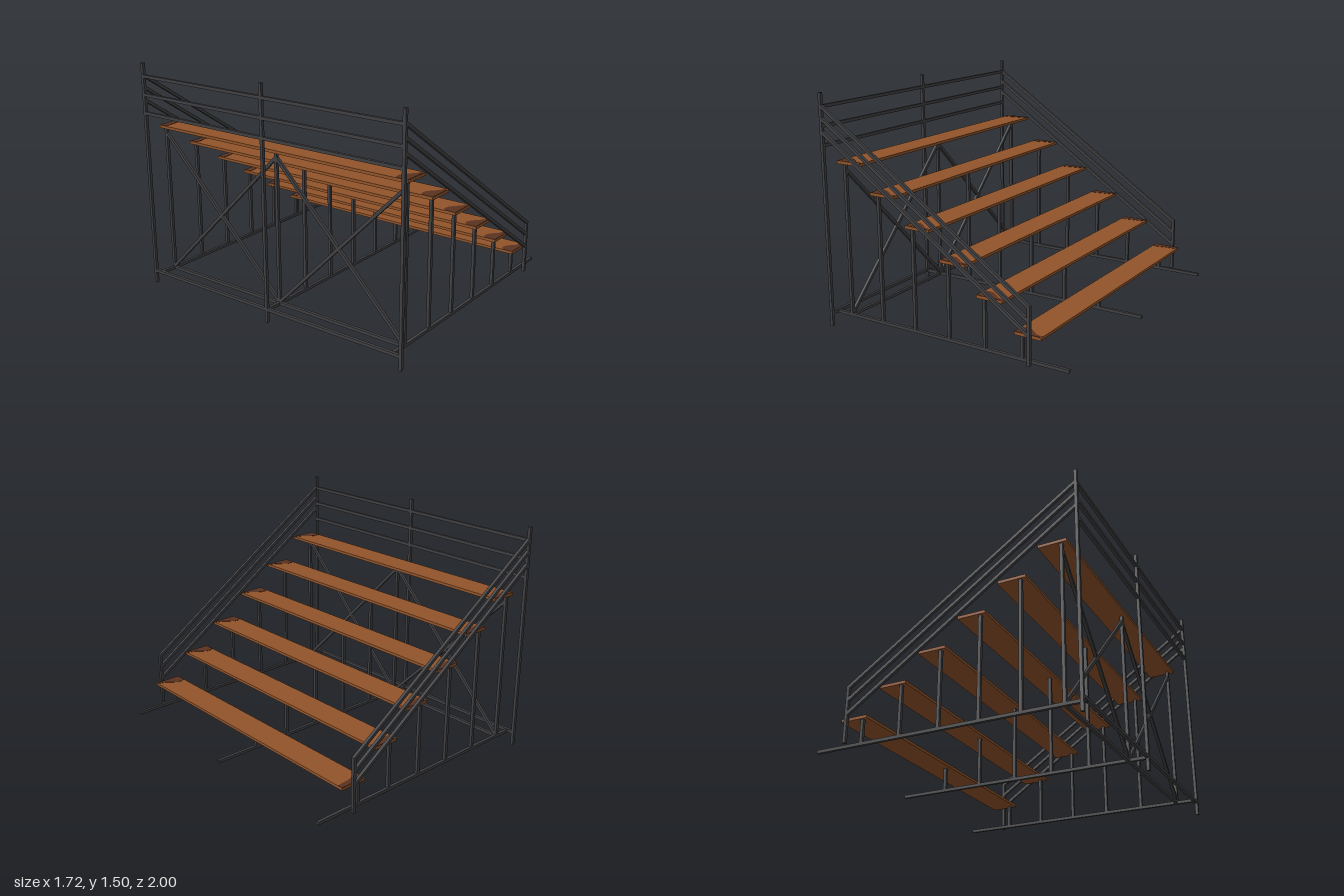
import * as THREE from 'three';

export function createModel() {
  const root = new THREE.Group();
  root.name = 'bleachers';
  const steel = new THREE.MeshStandardMaterial({ color: 0x404043 });
  steel.name = 'dark steel';
  const wood = new THREE.MeshStandardMaterial({ color: 0x92542a });
  wood.name = 'brown wood';
  const worn = new THREE.MeshStandardMaterial({ color: 0x5a3220 });
  worn.name = 'worn dark wood';

  // Square bar between two points
  const bar = (name, a, b, t = 0.02) => {
    const p = new THREE.Vector3(...a), q = new THREE.Vector3(...b);
    const m = new THREE.Mesh(new THREE.BoxGeometry(t, t, p.distanceTo(q)), steel);
    m.position.copy(p).add(q).multiplyScalar(0.5);
    if (Math.abs(q.x - p.x) + Math.abs(q.z - p.z) < 1e-6) m.rotation.x = Math.PI / 2;
    else m.lookAt(q);
    m.name = name;
    root.add(m);
  };

  const backX = -0.85, endX = 0.627, baseY = 0.083, railZ = 0.99;
  const rows = [0.93, 0.003, -0.937];

  // Worn patches at both plank ends, drawn in x and -z
  const patch = (points) => {
    const shape = new THREE.Shape(points.map(([x, z]) => new THREE.Vector2(x, -z)));
    const g = new THREE.ExtrudeGeometry(shape, { depth: 0.003, bevelEnabled: false });
    return g.rotateX(-Math.PI / 2);
  };
  const patches = [
    patch([[-0.088, 0.957], [0.07, 0.957], [0.088, 0.94], [0.04, 0.927], [0.01, 0.9],
      [-0.03, 0.872], [-0.06, 0.87], [-0.088, 0.885]].reverse()),
    patch([[-0.075, -0.957], [-0.088, -0.91], [-0.055, -0.903], [0.0, -0.915],
      [0.06, -0.92], [0.088, -0.925], [0.088, -0.957]]),
  ];

  // Six stepped seats, each on three legs
  for (let i = 0; i < 6; i++) {
    const x = -0.68 + i * 0.2555, y = 1.075 - i * 0.1665;
    const plank = new THREE.Mesh(new THREE.BoxGeometry(0.178, 0.018, 1.918), wood);
    plank.position.set(x, y, 0);
    plank.name = 'seatPlank';
    root.add(plank);
    for (const g of patches) {
      const m = new THREE.Mesh(g, worn);
      m.position.set(x, y + 0.008, 0);
      m.name = 'wornPlankEnd';
      root.add(m);
    }
    const legX = -0.73 + i * 0.2555;
    for (const z of rows) bar('seatLeg', [legX, baseY, z], [legX, y - 0.009, z]);
  }

  // Base runners and cross beams
  for (const z of rows) bar('baseRunner', [-0.855, baseY, z], [0.855, baseY, z]);
  bar('rearBaseBeam', [backX, 0.087, -railZ], [backX, 0.087, railZ]);
  bar('legBaseBeam', [-0.73, 0.083, -0.937], [-0.73, 0.083, 0.93]);

  // Back fence
  for (const z of [railZ, 0.003, -railZ]) bar('backPost', [backX, 0, z], [backX, 1.5, z]);
  for (const y of [1.175, 1.295, 1.415]) bar('backRail', [backX, y, -railZ], [backX, y, railZ]);

  // Sloping handrails on both sides
  for (const z of [railZ, -railZ]) {
    bar('handrailEndPost', [endX, baseY, z], [endX, 0.44, z]);
    for (const [top, low] of [[1.42, 0.433], [1.343, 0.35], [1.26, 0.262]]) {
      bar('sideHandrail', [backX, top, z], [endX, low, z]);
    }
  }

  // Crossed braces between the tallest legs
  for (let i = 0; i < 2; i++) {
    bar('crossBrace', [-0.73, 0.09, rows[i]], [-0.73, 1.03, rows[i + 1]]);
    bar('crossBrace', [-0.73, 1.03, rows[i]], [-0.73, 0.09, rows[i + 1]]);
  }
  return root;
}
